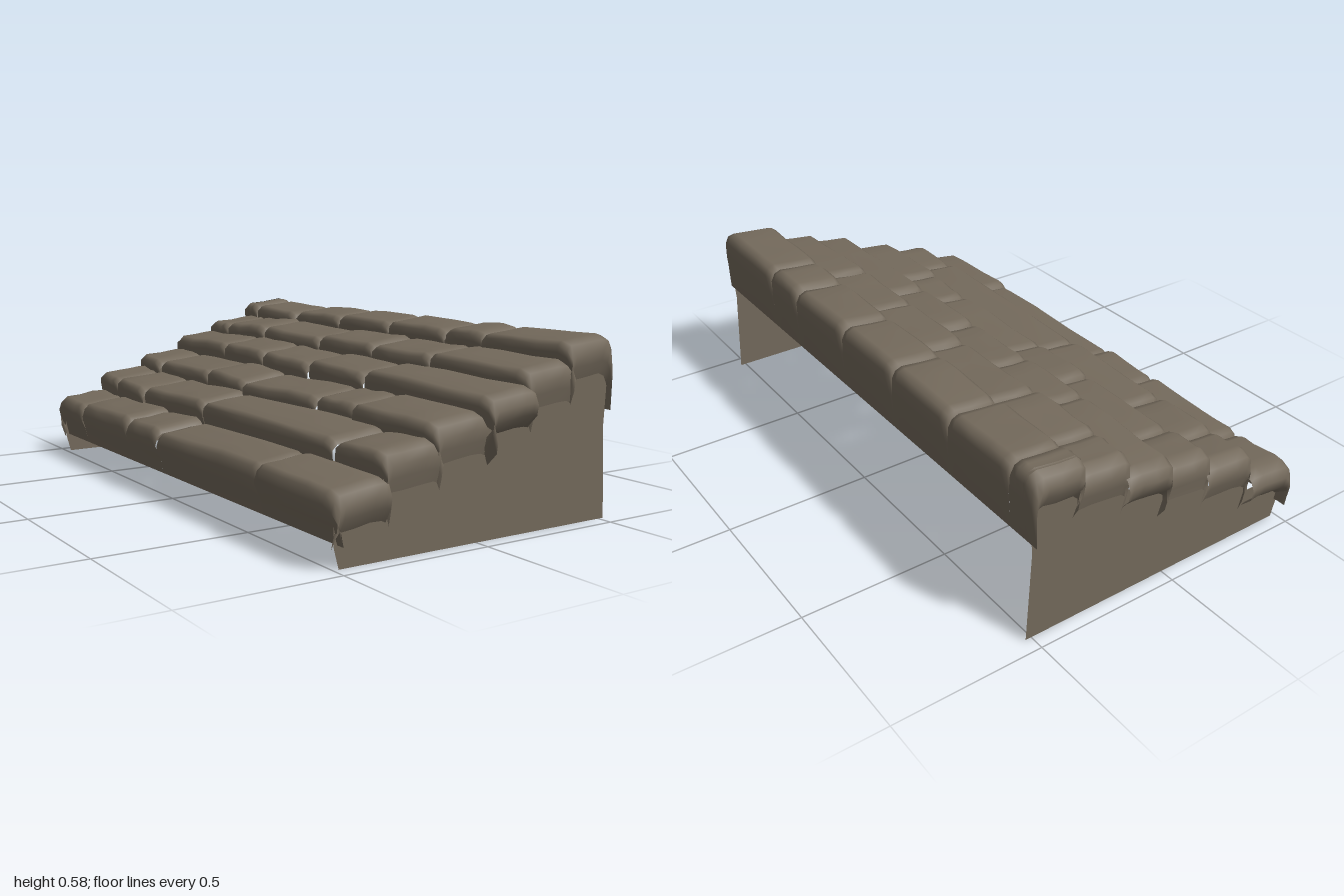
import * as THREE from 'three';

const stoneMat = new THREE.MeshStandardMaterial({ color: 0x73695b, side: THREE.DoubleSide });
stoneMat.name = 'brown stone';

const WALL_Z = 0.95;
// each step: front x, back x, top height, outer ends in z, joints between its slabs
const steps = [
  { x0: -0.515, x1: -0.35, y: 0.222, ends: [-0.995, 0.98], cuts: [-0.75, -0.34, -0.09, 0.57] },
  { x0: -0.355, x1: -0.17, y: 0.302, ends: [-0.97, 0.965], cuts: [-0.78, -0.53, -0.08, 0.72] },
  { x0: -0.175, x1: 0.0, y: 0.364, ends: [-0.96, 0.965], cuts: [-0.76, -0.37, -0.1, 0.35, 0.57] },
  { x0: 0.0, x1: 0.165, y: 0.438, ends: [-0.985, 0.995], cuts: [-0.55, -0.26, 0.05, 0.38] },
  { x0: 0.16, x1: 0.335, y: 0.497, ends: [-0.965, 0.965], cuts: [-0.79, -0.52, -0.13, 0.2, 0.52] },
  { x0: 0.33, x1: 0.52, y: 0.557, ends: [-0.98, 0.97], cuts: [-0.86, -0.56, -0.25, 0.06, 0.38, 0.57] },
];

let seed = 7;
function jitter(a) {
  seed = (seed * 16807) % 2147483647;
  return (seed / 2147483647 * 2 - 1) * a;
}

// cross-section of a step from front to back: [x, y, how much it follows the rounding]
function profile(i) {
  const { x0, x1, y } = steps[i];
  const front = i === 0
    ? [[-0.487, 0.068, 0], [-0.5, 0.125, 0.2], [-0.522, 0.18, 1], [-0.512, 0.208, 1]]
    : [[x0 + 0.018, steps[i - 1].y - 0.012, 1], [x0 + 0.002, y - 0.035, 1], [x0 + 0.003, y - 0.014, 1]];
  const top = [[x0 + 0.02, y, 1], [x0 + 0.08, y + 0.005, 1], [x1 - 0.03, y + 0.013, 1]];
  const back = i === 5
    ? [[0.513, y + 0.005, 1], [0.526, y - 0.02, 1], [0.526, 0.48, 0.7], [0.512, 0.345, 0]]
    : [[x1 + 0.008, y + 0.014, 1], [x1 + 0.022, y + 0.008, 1]];
  return [...front, ...top, ...back];
}

// stations along z: [z, drop below the top]; outer ends bulge past the side wall
function stations(z0, z1, outer0, outer1) {
  const start = outer0
    ? [[-WALL_Z, 0.12], [z0 + 0.006, 0.08], [z0, 0.045], [z0 + 0.015, 0.014], [z0 + 0.05, 0]]
    : [[z0, 0.024], [z0 + 0.01, 0.008], [z0 + 0.035, 0]];
  const end = outer1
    ? [[z1 - 0.05, 0], [z1 - 0.015, 0.014], [z1, 0.045], [z1 - 0.006, 0.08], [WALL_Z, 0.12]]
    : [[z1 - 0.035, 0], [z1 - 0.01, 0.008], [z1, 0.024]];
  const mid = [0.35, 0.65].map(t => [z0 + (z1 - z0) * t, jitter(0.004)]);
  return [...start, ...mid, ...end];
}

// one rounded slab lofted from its cross-section
function slab(i, z0, z1, outer0, outer1) {
  const prof = profile(i);
  const rows = stations(z0, z1, outer0, outer1);
  const lift = jitter(0.006), tilt = jitter(0.012), shift = jitter(0.008), skew = jitter(0.012);
  const pos = [], idx = [];
  const n = prof.length;
  rows.forEach(([z, drop], r) => {
    const t = (z - z0) / (z1 - z0) - 0.5;
    prof.forEach(([x, y, k], c) => {
      const isFront = c < n / 2;
      const inset = Math.min(drop, 0.045) * 0.35 * (isFront ? 1 : i === 5 ? -1 : 0);
      const slide = isFront ? shift + skew * t : 0;
      pos.push(x + k * (inset + slide), y + k * (lift + tilt * t - drop + jitter(0.002)), z);
      if (r < rows.length - 1 && c < n - 1) {
        const a = r * n + c, b = a + n;
        idx.push(a, b, a + 1, b, b + 1, a + 1);
      }
    });
  });
  const g = new THREE.BufferGeometry();
  g.setAttribute('position', new THREE.Float32BufferAttribute(pos, 3));
  g.setIndex(idx);
  g.computeVertexNormals();
  return new THREE.Mesh(g, stoneMat);
}

// flat stepped wall closing one end
function sideWall(s) {
  const pts = [[-0.482, 0], [0.52, 0], [0.505, 0.3], [0.515, 0.48]];
  for (let i = 5; i >= 0; i--) {
    const { x0, x1, y } = steps[i];
    pts.push([Math.min(x1, 0.505), y - 0.06], [x0 + 0.02, y - 0.06]);
  }
  pts.push([-0.5, 0.13], [-0.498, 0.06]);
  const shape = new THREE.Shape(pts.map(p => new THREE.Vector2(p[0], p[1])));
  const g = new THREE.ShapeGeometry(shape);
  if (s < 0) g.rotateY(Math.PI).scale(-1, 1, 1).setIndex([...g.index.array].reverse());
  g.translate(0, 0, s * WALL_Z);
  g.computeVertexNormals();
  return new THREE.Mesh(g, stoneMat);
}

export function createModel() {
  const model = new THREE.Group();
  model.name = 'stoneSteps';

  // six rows of slabs, rising toward +x
  steps.forEach(({ ends, cuts }, i) => {
    const row = new THREE.Group();
    row.name = 'step' + (i + 1);
    const z = [ends[0], ...cuts, ends[1]];
    for (let j = 0; j < z.length - 1; j++) {
      const m = slab(i, z[j], z[j + 1], j === 0, j === z.length - 2);
      m.name = 'slab' + (j + 1);
      row.add(m);
    }
    model.add(row);
  });

  // end walls
  for (const s of [1, -1]) {
    const wall = sideWall(s);
    wall.name = s > 0 ? 'frontWall' : 'backWall';
    model.add(wall);
  }
  return model;
}
